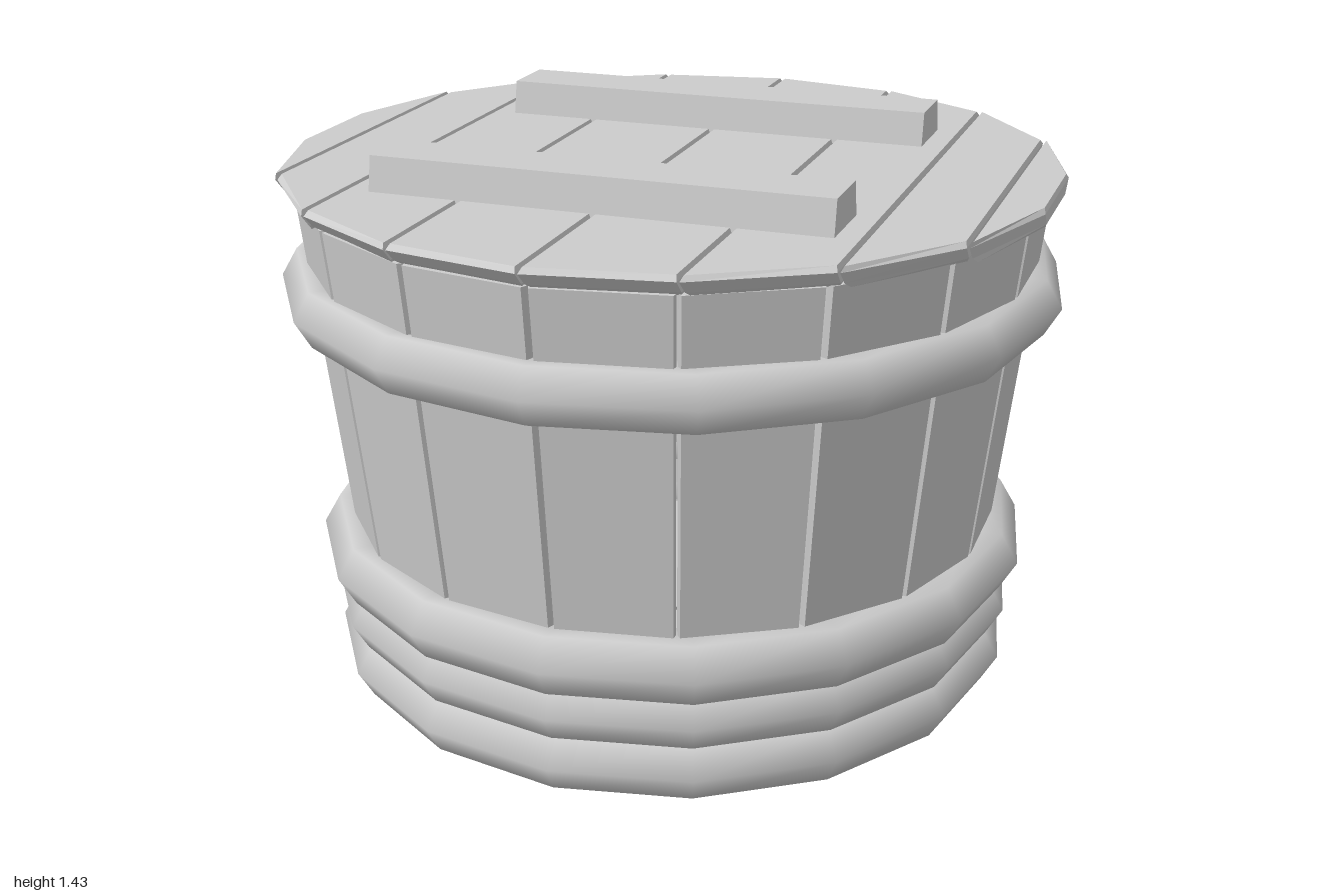
import * as THREE from 'three';

const material = new THREE.MeshStandardMaterial({ color: 0xcccccc, side: THREE.DoubleSide });
const SIDES = 18;
const STEP = (Math.PI * 2) / SIDES;

// Solid from stacked convex rings, listed bottom to top, each counter-clockwise from above
function loft(rings) {
  const pos = [];
  const tri = (a, b, c) => pos.push(...a, ...b, ...c);
  const n = rings[0].length;
  for (let r = 0; r < rings.length - 1; r++) {
    const lo = rings[r], hi = rings[r + 1];
    for (let i = 0; i < n; i++) {
      const j = (i + 1) % n;
      tri(lo[i], lo[j], hi[j]);
      tri(lo[i], hi[j], hi[i]);
    }
  }
  const bottom = rings[0], top = rings[rings.length - 1];
  for (let i = 1; i < n - 1; i++) {
    tri(bottom[0], bottom[i + 1], bottom[i]);
    tri(top[0], top[i], top[i + 1]);
  }
  const geo = new THREE.BufferGeometry();
  geo.setAttribute('position', new THREE.Float32BufferAttribute(pos, 3));
  geo.computeVertexNormals();
  return geo;
}

function add(parent, name, geometry) {
  const mesh = new THREE.Mesh(geometry, material);
  mesh.name = name;
  parent.add(mesh);
  return mesh;
}

function group(parent, name) {
  const g = new THREE.Group();
  g.name = name;
  parent.add(g);
  return g;
}

// Round panel cut into planks running along z; layers are [y, side inset, end inset]
function plankDisc(parent, name, radius, layers) {
  const g = group(parent, name);
  for (let k = -4; k < 4; k++) {
    const a = k * STEP, b = (k + 1) * STEP;
    const rings = layers.map(([y, side, end]) => {
      const x0 = radius * Math.sin(a) + side, z0 = radius * Math.cos(a) - end;
      const x1 = radius * Math.sin(b) - side, z1 = radius * Math.cos(b) - end;
      return [[x0, y, z0], [x1, y, z1], [x1, y, -z1], [x0, y, -z0]];
    });
    add(g, 'plank', loft(rings));
  }
}

// Stave cross-section with small chamfers on its two outer edges
function staveRing(angle, radius, y) {
  const half = STEP / 2;
  const corners = [
    [radius, -half + 0.009], [radius, half - 0.009],
    [radius - 0.015, half - 0.002], [radius - 0.06, half - 0.002],
    [radius - 0.06, -half + 0.002], [radius - 0.015, -half + 0.002],
  ];
  return corners.map(([r, t]) => [r * Math.sin(angle + t), y, r * Math.cos(angle + t)]);
}

export function createModel() {
  const model = new THREE.Group();
  model.name = 'lidded tub';

  // Flared wall of staves
  const wall = group(model, 'staves');
  for (let i = 0; i < SIDES; i++) {
    const angle = (i + 0.5) * STEP;
    add(wall, 'stave', loft([staveRing(angle, 0.803, 0.02), staveRing(angle, 0.946, 1.29)]));
  }

  // Rounded hoops: [height, ring radius, tube radius]
  const hoops = group(model, 'hoops');
  for (const [y, r, tube] of [
    [0.077, 0.82, 0.08], [0.216, 0.828, 0.078], [0.355, 0.848, 0.087], [1.05, 0.92, 0.08],
  ]) {
    const hoop = add(hoops, 'hoop', new THREE.TorusGeometry(r, tube, 6, 16));
    hoop.rotation.x = Math.PI / 2;
    hoop.position.y = y;
  }

  // Floor and lid
  plankDisc(model, 'floor', 0.8, [[0, 0.01, 0.01], [0.015, 0.003, 0], [0.05, 0.003, 0]]);
  plankDisc(model, 'lid', 0.987, [
    [1.285, 0.012, 0.06], [1.3, 0.004, 0.035], [1.333, 0.003, 0], [1.345, 0.008, 0.014],
  ]);

  // Two battens with sloping long sides
  for (const z of [-0.402, 0.458]) {
    const ring = (y, h) => [[-0.57, y, z + h], [0.57, y, z + h], [0.57, y, z - h], [-0.57, y, z - h]];
    add(model, 'lidBatten', loft([ring(1.335, 0.098), ring(1.43, 0.08)]));
  }
  return model;
}
